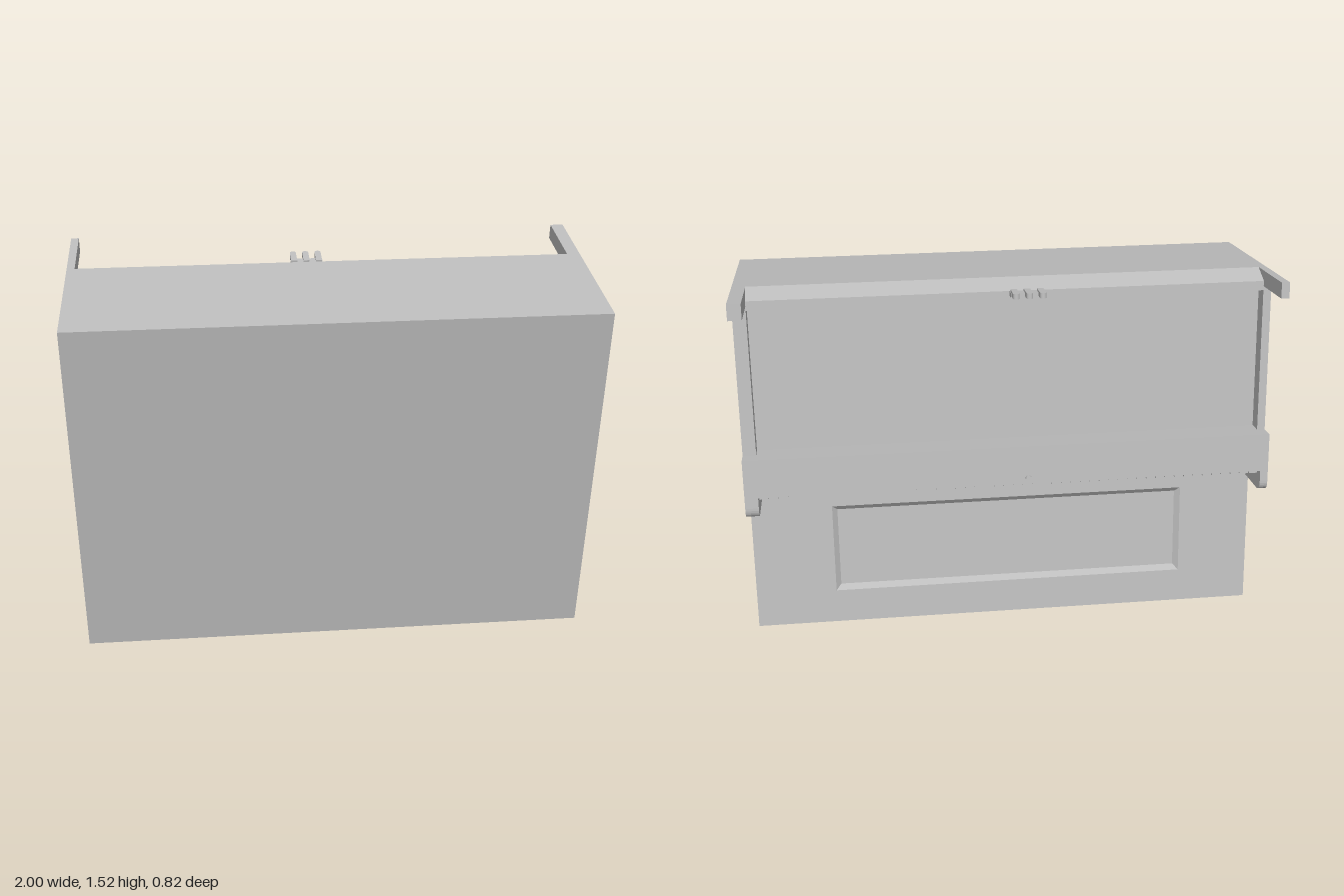
import * as THREE from 'three';

const grey = new THREE.MeshStandardMaterial({ color: 0xbcbcbc });
grey.name = 'plainGrey';

// Inner faces of the two side panels (the panels differ in thickness)
const X0 = -0.995, X1 = 0.995, IN0 = -0.965, IN1 = 0.945;

function add(parent, name, geometry) {
  const mesh = new THREE.Mesh(geometry, grey);
  mesh.name = name;
  parent.add(mesh);
  return mesh;
}

// Side profile given as (depth toward the back, height), extruded from xa to xb
function slab(shape, xa, xb) {
  const g = new THREE.ExtrudeGeometry(shape, { depth: xb - xa, bevelEnabled: false, curveSegments: 8 });
  return g.rotateY(Math.PI / 2).translate(xa, 0, 0);
}

// Box given by its x, y and depth ranges
function block(xa, xb, ya, yb, da, db) {
  return new THREE.BoxGeometry(xb - xa, yb - ya, db - da)
    .translate((xa + xb) / 2, (ya + yb) / 2, -(da + db) / 2);
}

function rect(Type, xa, xb, ya, yb) {
  return new Type([[xa, ya], [xb, ya], [xb, yb], [xa, yb]].map(p => new THREE.Vector2(...p)));
}

function sidePanelShape() {
  const s = new THREE.Shape();
  s.moveTo(0, 0);
  s.lineTo(0.405, 0);
  s.lineTo(0.405, 0.558);
  s.lineTo(0.615, 0.558);
  s.quadraticCurveTo(0.657, 0.558, 0.657, 0.6);
  s.lineTo(0.657, 0.787);
  s.lineTo(0.593, 0.787);
  s.lineTo(0.593, 1.35);
  s.lineTo(0.807, 1.35);
  s.lineTo(0.807, 1.408);
  s.lineTo(0, 1.408);
  return s;
}

export function createModel() {
  const model = new THREE.Group();
  model.name = 'upturnedPiano';
  const body = new THREE.Group();
  body.name = 'tiltedBody';
  model.add(body);

  // Side panels with cheek and foot
  add(body, 'rightSidePanel', slab(sidePanelShape(), X0, IN0));
  add(body, 'leftSidePanel', slab(sidePanelShape(), IN1, X1));

  // Case between the sides: key bed, recessed panel and toe rail
  const core = new THREE.Shape([
    [0, 0], [0.385, 0], [0.385, 0.66], [0.63, 0.66], [0.63, 0.64], [0.657, 0.64],
    [0.657, 0.787], [0.533, 0.787], [0.533, 1.335], [0.594, 1.335], [0.594, 1.37],
    [0.521, 1.408], [0, 1.408],
  ].map(p => new THREE.Vector2(...p)));
  add(body, 'case', slab(core, IN0, IN1));

  // Panel frame with a sunken field
  const [pa, pb, qa, qb] = [-0.715, 0.68, 0.135, 0.495];
  const frame = rect(THREE.Shape, IN0, IN1, 0, 0.66);
  frame.holes.push(rect(THREE.Path, pa, pb, qa, qb));
  add(body, 'panelFrame', new THREE.ExtrudeGeometry(frame, { depth: 0.02, bevelEnabled: false })
    .translate(0, 0, -0.405));

  // Sloped moulding around the sunken field
  const w = 0.02;
  const ring = (e, z) => [[pa + e, qa + e, z], [pb - e, qa + e, z], [pb - e, qb - e, z], [pa + e, qb - e, z]];
  const outer = ring(0, -0.405), inner = ring(w, -0.386), verts = [];
  for (let i = 0; i < 4; i++) {
    const j = (i + 1) % 4;
    verts.push(...outer[i], ...inner[i], ...inner[j], ...outer[i], ...inner[j], ...outer[j]);
  }
  const moulding = new THREE.BufferGeometry();
  moulding.setAttribute('position', new THREE.Float32BufferAttribute(verts, 3));
  moulding.computeVertexNormals();
  add(body, 'panelMoulding', moulding);

  // Keyboard facing down: 52 wide keys and 36 narrow keys
  const keys = new THREE.Group();
  keys.name = 'keyboard';
  body.add(keys);
  const pitch = (IN1 - IN0) / 52;
  for (let i = 0; i < 52; i++) {
    const x = IN0 + i * pitch;
    add(keys, 'wideKey', block(x + 0.002, x + pitch - 0.002, 0.622, 0.661, 0.404, 0.625));
    if (i < 51 && ![1, 4].includes(i % 7)) {
      add(keys, 'narrowKey', block(x + pitch - 0.009, x + pitch + 0.009, 0.595, 0.63, 0.405, 0.55));
    }
  }

  // Small knob on the key slip
  add(body, 'lidKnob', new THREE.CylinderGeometry(0.011, 0.011, 0.016, 12)
    .rotateX(Math.PI / 2).translate(-0.065, 0.665, -0.664));

  // Three pedals on a short base
  const pedals = new THREE.Group();
  pedals.name = 'pedals';
  body.add(pedals);
  add(pedals, 'pedalBase', block(-0.135, -0.01, 1.352, 1.37, 0.59, 0.635));
  for (const x of [-0.122, -0.073, -0.024]) {
    add(pedals, 'pedalArm', block(x - 0.012, x + 0.012, 1.358, 1.378, 0.6, 0.675));
    add(pedals, 'pedalTip', new THREE.CylinderGeometry(0.012, 0.012, 0.02, 16).translate(x, 1.368, -0.675));
  }

  // Lean the body, then stand it centred on the ground
  body.rotation.set(0.149, 0.005, 0.0025);
  model.updateMatrixWorld(true);
  const box = new THREE.Box3().setFromObject(model, true);
  const c = box.getCenter(new THREE.Vector3());
  body.position.set(-c.x, -box.min.y, -c.z);
  return model;
}
